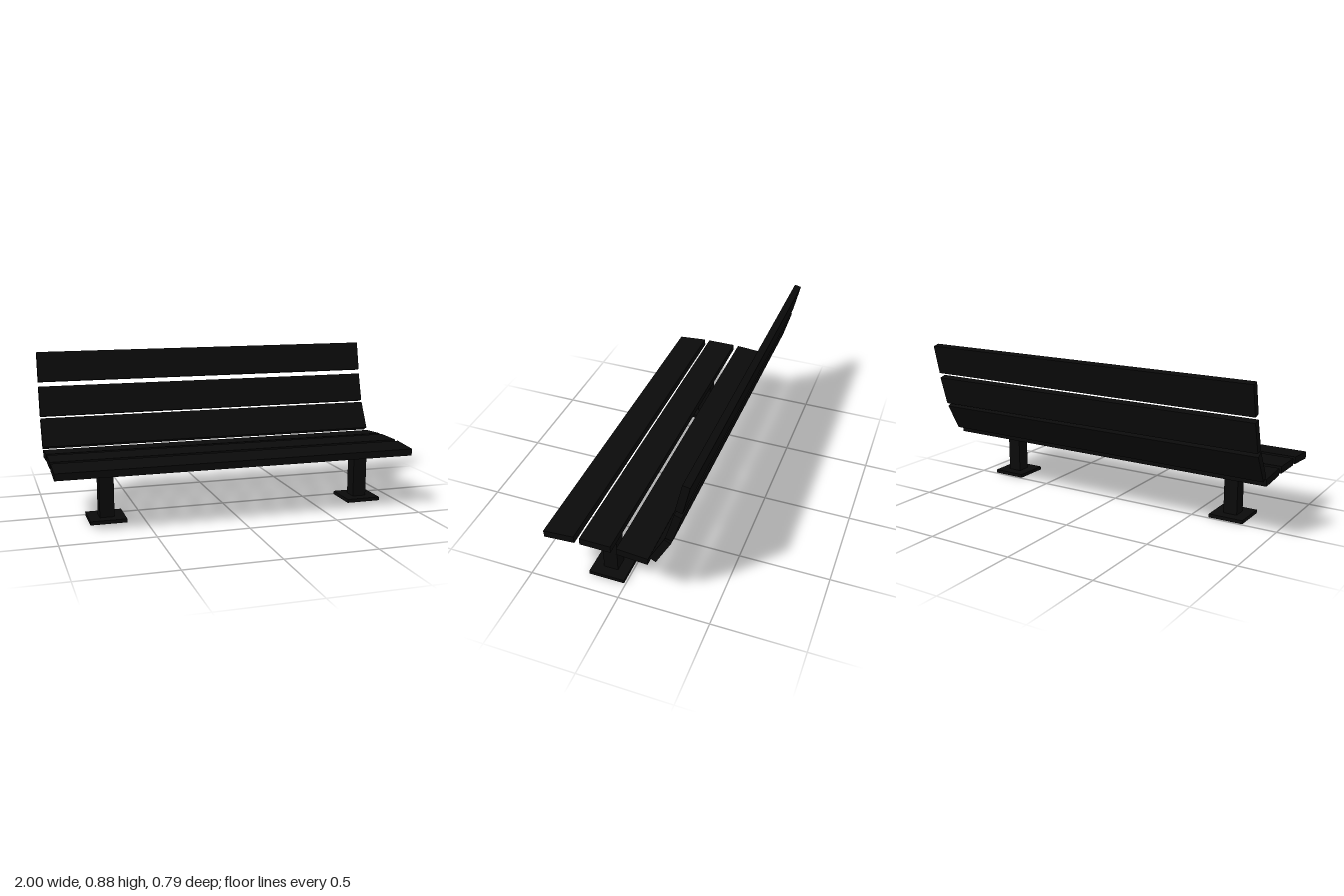
import * as THREE from 'three';

const metal = new THREE.MeshStandardMaterial({ color: 0x0a0a0a });

function box(name, w, h, d, x, y, z, tilt = 0) {
  const mesh = new THREE.Mesh(new THREE.BoxGeometry(w, h, d), metal);
  mesh.name = name;
  mesh.position.set(x, y, z);
  mesh.rotation.x = tilt;
  return mesh;
}

export function createModel() {
  const bench = new THREE.Group();
  bench.name = 'bench';

  // Slats, front of the seat to the top of the back: name, y, z, tilt
  const slats = [
    ['seatSlatFront', 0.33, 0.31, 0.075],
    ['seatSlatMiddle', 0.337, 0.11, 0],
    ['seatSlatRear', 0.33, -0.09, -0.075],
    ['backSlatLower', 0.424, -0.24, 1.078],
    ['backSlatMiddle', 0.596, -0.31, 1.292],
    ['backSlatUpper', 0.789, -0.356, 1.349],
  ];
  for (const [name, y, z, tilt] of slats) {
    bench.add(box(name, 2, 0.039, 0.17, 0, y, z, tilt));
  }

  // Two legs, each a square post on a flat foot plate
  for (const [side, x] of [['right', -0.7], ['left', 0.8]]) {
    const leg = new THREE.Group();
    leg.name = side + 'Leg';
    leg.add(
      box('post', 0.08, 0.3, 0.08, x, 0.17, 0.11),
      box('footPlate', 0.2, 0.02, 0.2, x, 0.01, 0.11),
    );
    bench.add(leg);
  }
  return bench;
}
